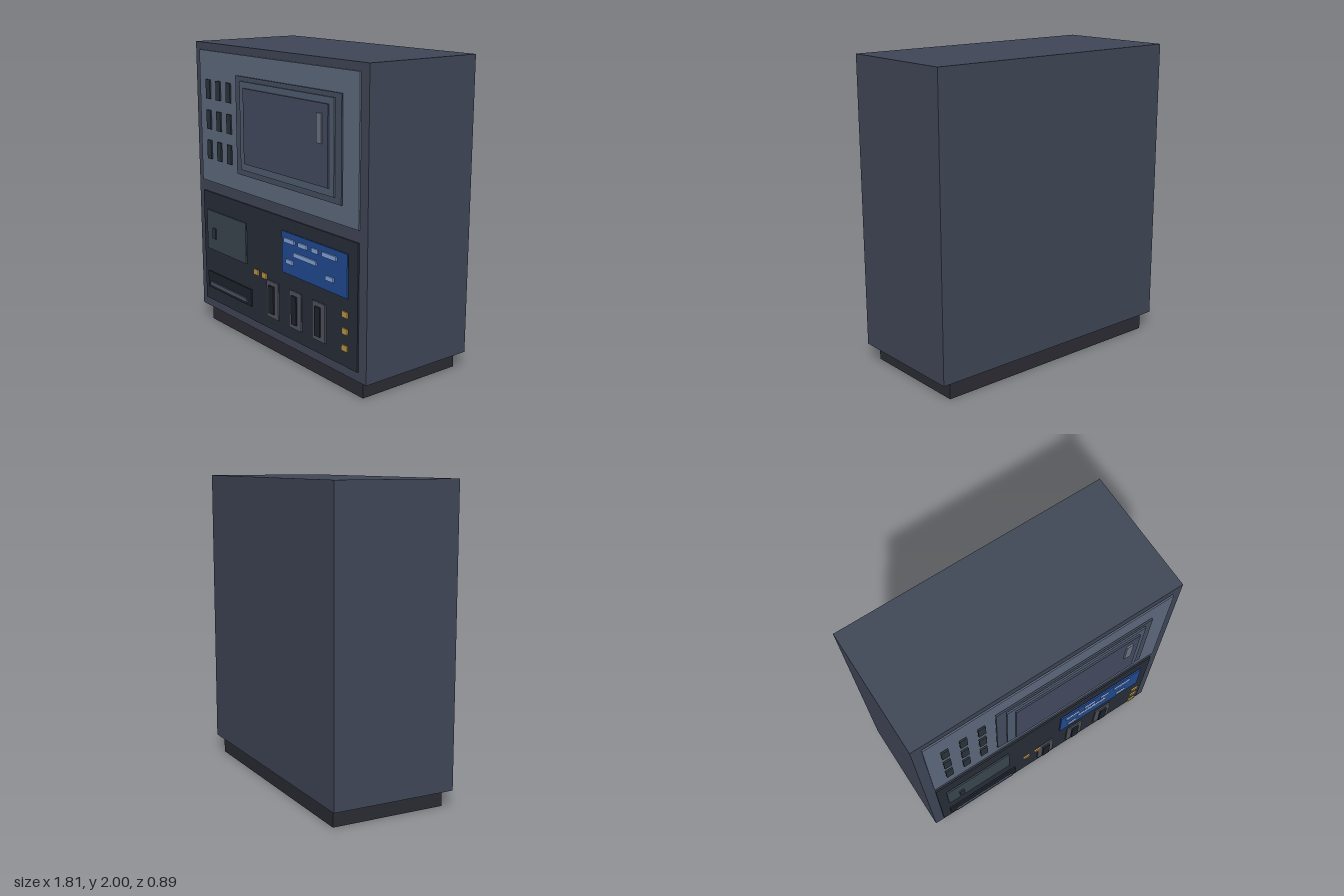
import * as THREE from 'three';

const mat = (color) => new THREE.MeshStandardMaterial({ color });
const M = {
  body: mat(0x3f4656), base: mat(0x2b2c33), panel: mat(0x5f6a7e), frame: mat(0x444d60),
  rim: mat(0x4f5c70), screen: mat(0x444b60), handle: mat(0x6b7485), dark: mat(0x2a343b),
  lower: mat(0x282e38), hatch: mat(0x3a464f), slot: mat(0x1d222c), bar: mat(0x4b5263),
  blue: mat(0x214a92), strip: mat(0x85a6de), gold: mat(0xb8944a), lever: mat(0x4d515c),
};

export function createModel() {
  const group = new THREE.Group();

  // Box given by its edges
  function box(name, m, x0, x1, y0, y1, z0, z1) {
    const mesh = new THREE.Mesh(new THREE.BoxGeometry(x1 - x0, y1 - y0, z1 - z0), m);
    mesh.position.set((x0 + x1) / 2, (y0 + y1) / 2, (z0 + z1) / 2);
    mesh.name = name;
    group.add(mesh);
  }
  // Thin plates stacked in layers in front of the cabinet
  const layers = [0.389, 0.405, 0.418, 0.43, 0.441];
  function plate(name, m, layer, x0, x1, y0, y1) {
    const z = layers[layer];
    box(name, m, x0, x1, y0, y1, z - 0.005, z + 0.005);
  }

  // Cabinet and recessed plinth
  box('cabinet', M.body, -0.907, 0.907, 0.115, 2, -0.445, 0.38);
  box('plinth', M.base, -0.84, 0.84, 0, 0.115, -0.415, 0.345);

  // Upper panel with stepped door
  plate('upperPanel', M.panel, 0, -0.843, 0.843, 1.05, 1.95);
  plate('doorFrame', M.frame, 1, -0.38, 0.705, 1.17, 1.817);
  plate('doorRim', M.rim, 2, -0.315, 0.652, 1.21, 1.788);
  plate('door', M.screen, 3, -0.26, 0.611, 1.258, 1.748);
  plate('doorHandle', M.handle, 4, 0.515, 0.561, 1.513, 1.69);

  // Grid of vents
  for (const x of [-0.723, -0.6, -0.476])
    for (const y of [1.693, 1.486, 1.28])
      plate('vent', M.dark, 1, x - 0.025, x + 0.025, y - 0.065, y + 0.065);

  // Lower panel with hatch and slot
  plate('lowerPanel', M.lower, 0, -0.84, 0.84, 0.18, 0.973);
  plate('hatch', M.hatch, 1, -0.778, -0.296, 0.566, 0.847);
  plate('hatchLatch', M.dark, 2, -0.693, -0.656, 0.655, 0.73);
  plate('slot', M.slot, 1, -0.783, -0.243, 0.278, 0.397);
  plate('slotBar', M.bar, 2, -0.742, -0.281, 0.3, 0.328);

  // Blue display with light strips: [x0, x1, centre y]
  plate('display', M.blue, 1, 0.116, 0.763, 0.62, 0.892);
  const strips = [
    [0.153, 0.258, 0.842], [0.3, 0.386, 0.842], [0.434, 0.497, 0.842], [0.54, 0.672, 0.842],
    [0.253, 0.479, 0.766], [0.174, 0.243, 0.707], [0.574, 0.645, 0.703],
  ];
  for (const [x0, x1, y] of strips) plate('displayStrip', M.strip, 2, x0, x1, y - 0.014, y + 0.014);

  // Lever switches
  for (const x of [0.005, 0.25, 0.49]) {
    plate('switchPlate', M.lever, 1, x - 0.063, x + 0.063, 0.27, 0.52);
    plate('switchSlot', M.slot, 2, x - 0.027, x + 0.027, 0.303, 0.493);
  }

  // Amber buttons
  for (const [x, y] of [[-0.163, 0.545], [-0.071, 0.545], [0.754, 0.523], [0.754, 0.418], [0.754, 0.312]])
    plate('button', M.gold, 2, x - 0.026, x + 0.026, y - 0.019, y + 0.019);

  return group;
}
